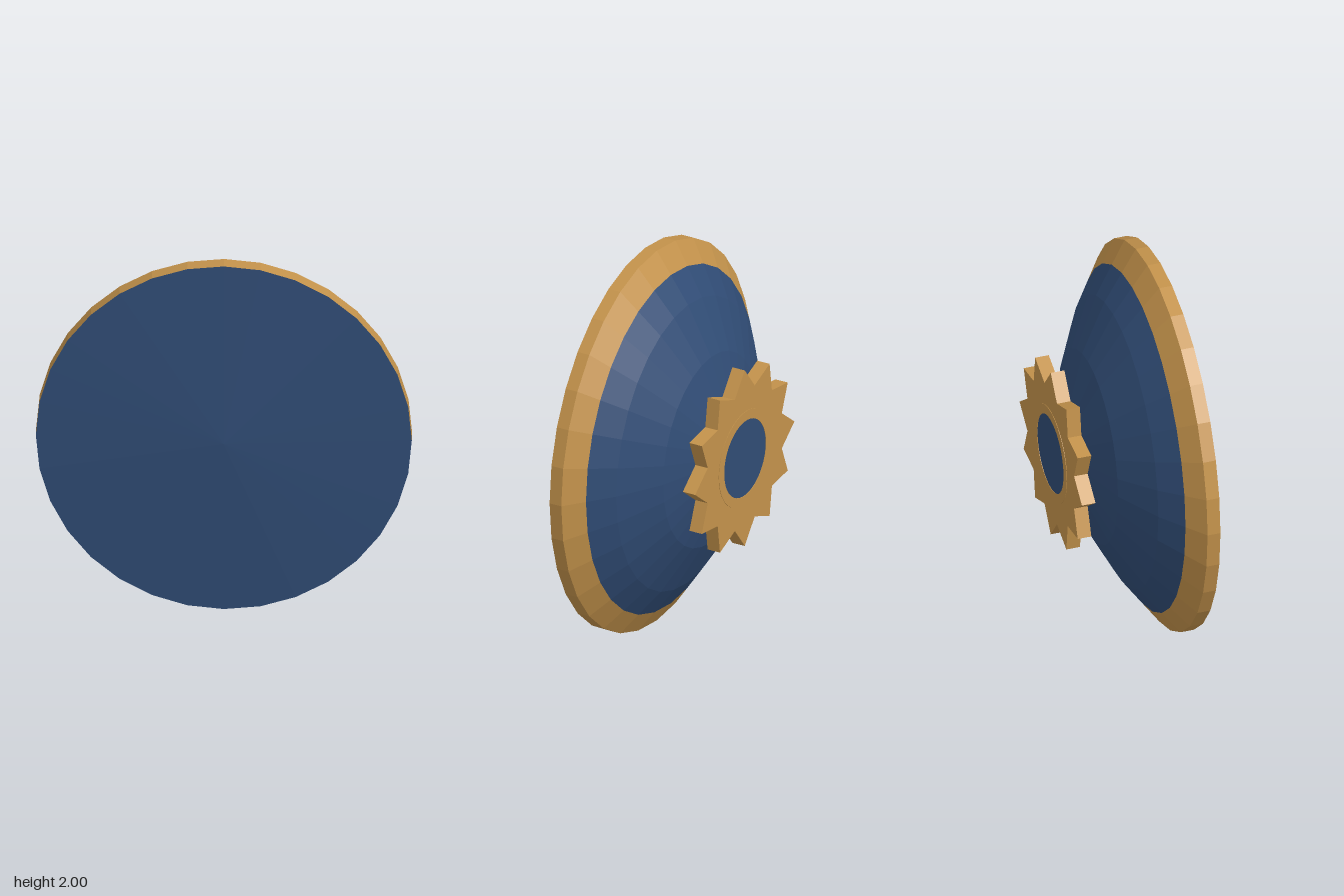
import * as THREE from 'three';

const blue = new THREE.MeshStandardMaterial({ color: 0x304c75 });
blue.name = 'navy blue';
const gold = new THREE.MeshStandardMaterial({ color: 0xc3924b });
gold.name = 'antique gold';

// Give every facet its own flat normal
function faceted(geometry) {
  const flat = geometry.toNonIndexed();
  flat.computeVertexNormals();
  return flat;
}

function addPart(parent, name, geometry, material) {
  const mesh = new THREE.Mesh(geometry, material);
  mesh.name = name;
  parent.add(mesh);
}

// Turned oval shell about the z axis; profile is [radius, z] from back to front
function ovalShell(profile) {
  const points = profile.map(([r, z]) => new THREE.Vector2(r, z));
  return faceted(new THREE.LatheGeometry(points, 32).rotateX(Math.PI / 2).scale(0.915, 1, 1));
}

// Flat ring or plate from a shape, extruded between two z positions
function plate(shape, zBack, zFront) {
  return new THREE.ExtrudeGeometry(shape, {
    depth: zFront - zBack, bevelEnabled: false, curveSegments: 32,
  }).translate(0, 0, zBack);
}

function disc(radius, holeRadius = 0) {
  const shape = new THREE.Shape().absarc(0, 0, radius, 0, Math.PI * 2);
  if (holeRadius) shape.holes.push(new THREE.Path().absarc(0, 0, holeRadius, 0, Math.PI * 2));
  return shape;
}

// Twelve-pointed star with a round hole
function starShape(outer, inner, hole) {
  const points = [];
  for (let i = 0; i < 24; i++) {
    const r = i % 2 ? inner : outer;
    const a = (i * Math.PI) / 12;
    points.push(new THREE.Vector2(r * Math.cos(a), r * Math.sin(a)));
  }
  const shape = new THREE.Shape(points);
  shape.holes.push(new THREE.Path().absarc(0, 0, hole, 0, Math.PI * 2));
  return shape;
}

export function createModel() {
  const model = new THREE.Group();
  model.name = 'domedDisc';

  // Oval body: domed back, gold rim, shallow conical front
  const body = new THREE.Group();
  body.name = 'body';
  body.position.y = 1;
  addPart(body, 'backDome',
    ovalShell([[0, -0.194], [0.25, -0.173], [0.5, -0.095], [0.75, 0.035], [0.888, 0.132]]), blue);
  addPart(body, 'rim', ovalShell([[0.888, 0.132], [1, 0.211], [1, 0.277]]), gold);
  addPart(body, 'frontFace', ovalShell([[1, 0.277], [0, 0.333]]), blue);
  model.add(body);

  // Star ornament floating behind the dome
  const ornament = new THREE.Group();
  ornament.name = 'starOrnament';
  ornament.position.y = 1;
  addPart(ornament, 'star', plate(starShape(0.475, 0.367, 0.25), -0.286, -0.216), gold);
  addPart(ornament, 'hubRing', plate(disc(0.25, 0.2), -0.288, -0.216), gold);
  addPart(ornament, 'hubDisc', plate(disc(0.2), -0.286, -0.216), blue);
  model.add(ornament);

  return model;
}
